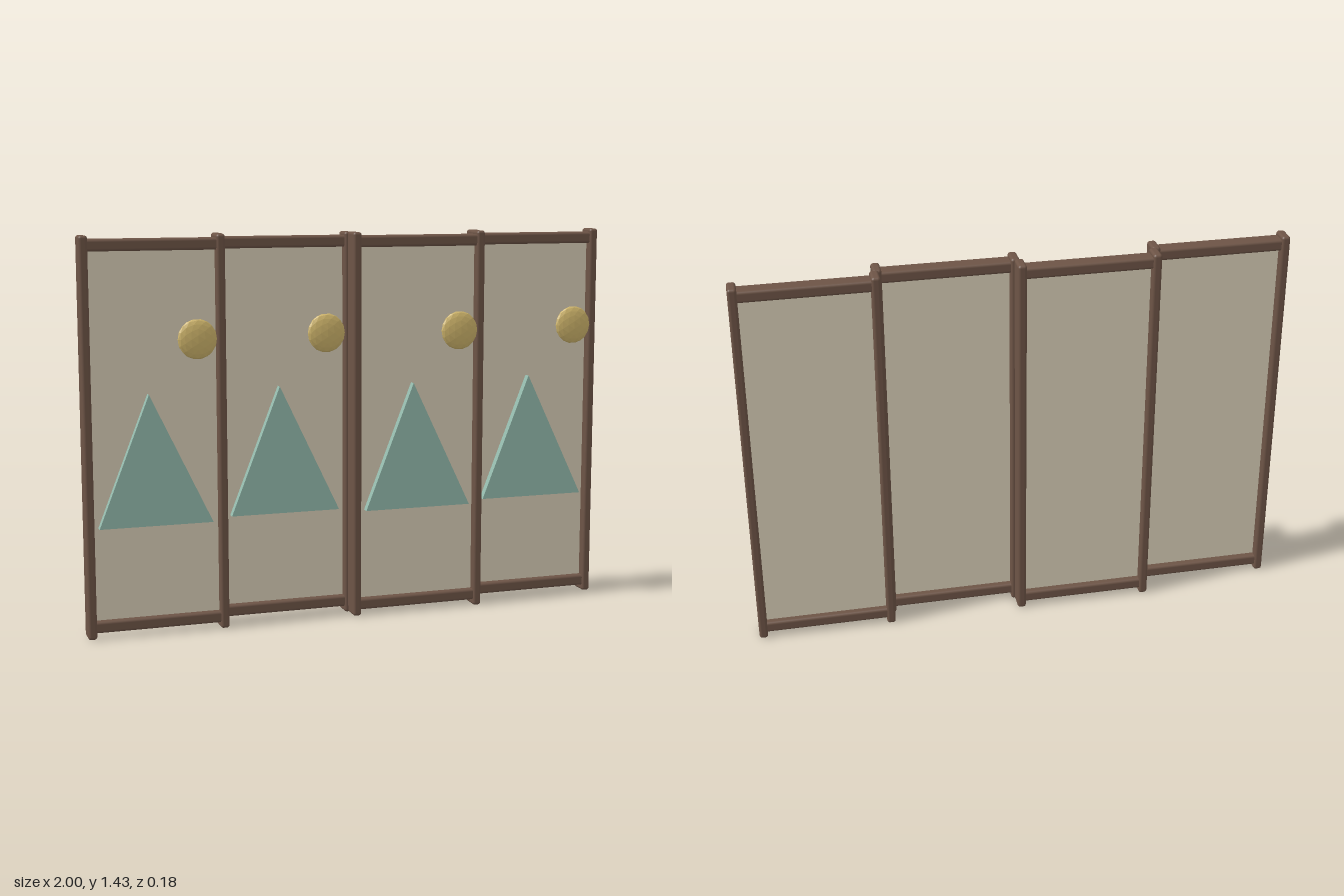
import * as THREE from 'three';
import { RoundedBoxGeometry } from 'three/addons/geometries/RoundedBoxGeometry.js';

const wood = new THREE.MeshStandardMaterial({ color: 0x6d5446 });
const paper = new THREE.MeshStandardMaterial({ color: 0xd9cfb8 });
const teal = new THREE.MeshStandardMaterial({ color: 0x95bcae });
const gold = new THREE.MeshStandardMaterial({ color: 0xd0b66c, flatShading: true });

const HEIGHT = 1.426, POST_W = 0.032, POST_D = 0.074, POST_X = 0.2415;

function add(parent, name, geometry, material, x, y, z) {
  const mesh = new THREE.Mesh(geometry, material);
  mesh.name = name;
  mesh.position.set(x, y, z);
  parent.add(mesh);
  return mesh;
}

function createPanel() {
  const panel = new THREE.Group();

  // Frame: two posts standing slightly proud of two rails
  const post = new RoundedBoxGeometry(POST_W, HEIGHT, POST_D, 3, 0.01);
  add(panel, 'leftPost', post, wood, POST_X, HEIGHT / 2, 0);
  add(panel, 'rightPost', post, wood, -POST_X, HEIGHT / 2, 0);
  const rail = new RoundedBoxGeometry(POST_X * 2, 0.042, 0.062, 3, 0.01);
  add(panel, 'topRail', rail, wood, 0, 1.392, 0);
  add(panel, 'bottomRail', rail, wood, 0, 0.042, 0);

  // Paper sheet held in the frame
  add(panel, 'paperSheet', new THREE.BoxGeometry(0.49, 1.35, 0.012), paper, 0, 0.717, 0);

  // Mountain: extruded triangle
  const triangle = new THREE.Shape([
    new THREE.Vector2(-0.21, 0),
    new THREE.Vector2(0.2, 0),
    new THREE.Vector2(-0.026, 0.47),
  ]);
  const mountain = new THREE.ExtrudeGeometry(triangle, { depth: 0.028, bevelEnabled: false });
  add(panel, 'mountain', mountain, teal, 0, 0.4, 0.015);

  // Sun: flattened faceted ball
  const sun = new THREE.IcosahedronGeometry(0.071, 2);
  sun.scale(1, 1, 0.26);
  add(panel, 'sun', sun, gold, 0.146, 1.062, 0.062);
  return panel;
}

export function createModel() {
  const model = new THREE.Group();
  model.name = 'foldingScreen';
  // Four panels, alternately set forward and back
  for (let i = 0; i < 4; i++) {
    const panel = createPanel();
    panel.name = `panel${i + 1}`;
    panel.position.set((i - 1.5) * 0.495, 0, i % 2 ? -0.052 : 0.014);
    model.add(panel);
  }
  return model;
}
